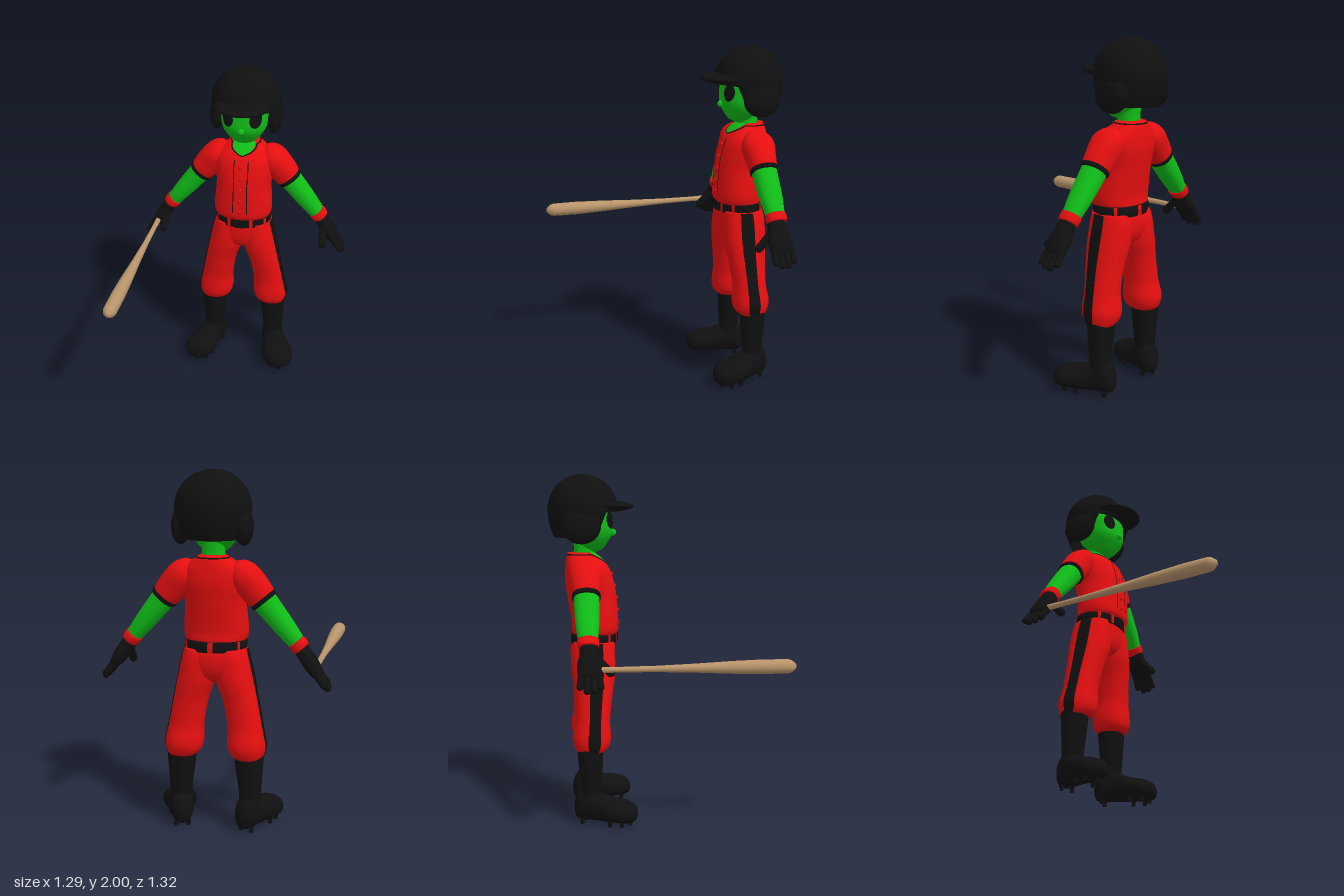
import * as THREE from 'three';

const mat = (name, color, side = THREE.FrontSide) => {
  const m = new THREE.MeshStandardMaterial({ color, side });
  m.name = name;
  return m;
};

// Section = [y, centreX, centreZ, radiusX, radiusZ]; smooth interpolation by height
function section(secs, y) {
  let i = 0;
  while (i < secs.length - 2 && y > secs[i + 1][0]) i++;
  const b = secs[i], c = secs[i + 1], a = secs[i - 1] || b, d = secs[i + 2] || c;
  const h = c[0] - b[0], t = (y - b[0]) / h, t2 = t * t, t3 = t2 * t;
  return [1, 2, 3, 4].map((k) => {
    const m0 = ((c[k] - a[k]) / (c[0] - a[0])) * h, m1 = ((d[k] - b[k]) / (d[0] - b[0])) * h;
    const v = (2 * t3 - 3 * t2 + 1) * b[k] + (t3 - 2 * t2 + t) * m0 + (3 * t2 - 2 * t3) * c[k] + (t3 - t2) * m1;
    return k > 2 ? Math.max(v, 0) : v;
  });
}

const POWER = 2 / 2.25;
const soft = (v) => Math.sign(v) * Math.abs(v) ** POWER;

// Point on a body surface; angle 0 is the front, +90 degrees is +x
function at(secs, u, y, off = 0) {
  const [cx, cz, rx, rz] = section(secs, y);
  return [cx + (rx + off) * soft(Math.sin(u)), y, cz + (rz + off) * soft(Math.cos(u))];
}

// Indexed grid of points; wrapped grids are closed around and capped
function grid(nu, nv, fn, wrap) {
  const pos = [], idx = [], w = wrap ? nu : nu + 1;
  for (let j = 0; j <= nv; j++) for (let i = 0; i < w; i++) pos.push(...fn(i / nu, j / nv));
  for (let j = 0; j < nv; j++) for (let i = 0; i < nu; i++) {
    const a = j * w + i, b = j * w + ((i + 1) % w);
    idx.push(a, b, b + w, a, b + w, a + w);
  }
  if (wrap === 'capped') {
    for (const j of [0, nv]) {
      const centre = pos.length / 3, p = [0, 0, 0];
      for (let i = 0; i < w; i++) for (let k = 0; k < 3; k++) p[k] += pos[(j * w + i) * 3 + k] / w;
      pos.push(...p);
      for (let i = 0; i < w; i++) {
        const a = j * w + i, b = j * w + ((i + 1) % w);
        idx.push(centre, ...(j ? [a, b] : [b, a]));
      }
    }
  }
  const g = new THREE.BufferGeometry();
  g.setAttribute('position', new THREE.Float32BufferAttribute(pos, 3));
  g.setIndex(idx);
  g.computeVertexNormals();
  return g;
}

const loft = (secs, nv = 36) => {
  const y0 = secs[0][0], y1 = secs[secs.length - 1][0];
  return grid(40, nv, (s, t) => at(secs, s * Math.PI * 2, y0 + (y1 - y0) * t), 'capped');
};

// Thin patch lying on a body surface; range(t) gives its two edge angles
const patch = (secs, y0, y1, range, off = 0.005) => grid(8, 28, (s, t) => {
  const [a, b] = range(t);
  return at(secs, a + (b - a) * s, y0 + (y1 - y0) * t, off);
});

export function createModel() {
  const model = new THREE.Group();
  model.name = 'batter';
  const red = mat('uniformRed', 0xe60f10), green = mat('skinGreen', 0x10bd18);
  const black = mat('gearBlack', 0x101010, THREE.DoubleSide), wood = mat('batWood', 0xb8946a);

  const add = (name, geo, material, parent = model, pos = [0, 0, 0]) => {
    const m = new THREE.Mesh(geo, material);
    m.name = name;
    m.position.set(...pos);
    parent.add(m);
    return m;
  };
  const ball = (name, material, pos, r, parent = model) =>
    add(name, new THREE.SphereGeometry(1, 32, 20), material, parent, pos).scale.set(...r);
  const group = (name, parent, pos) => {
    const g = new THREE.Group();
    g.name = name;
    g.position.set(...pos);
    parent.add(g);
    return g;
  };
  // Rounded finger between two points
  const finger = (name, a, b, r, parent) => {
    const p = new THREE.Vector3(...a), q = new THREE.Vector3(...b), d = q.clone().sub(p);
    const m = add(name, new THREE.CapsuleGeometry(r, d.length(), 6, 14), black, parent);
    m.position.copy(p).add(q).multiplyScalar(0.5);
    m.quaternion.setFromUnitVectors(new THREE.Vector3(0, 1, 0), d.normalize());
  };

  // Shirt
  const shirt = [[1.08, 0, -0.405, 0.162, 0.125], [1.095, 0, -0.398, 0.172, 0.134], [1.14, 0, -0.395, 0.178, 0.135],
    [1.3, 0, -0.412, 0.168, 0.142], [1.4, 0, -0.428, 0.178, 0.14], [1.47, 0, -0.44, 0.17, 0.125],
    [1.52, 0, -0.458, 0.12, 0.1], [1.555, 0, -0.475, 0.07, 0.075]];
  add('shirt', loft(shirt, 48), red);
  add('neckOpening', patch(shirt, 1.495, 1.555, (t) => [-0.95 * t, 0.95 * t]), green);
  const collar = [];
  for (let i = 0; i < 40; i++) {
    const u = (i / 40) * Math.PI * 2, k = Math.min(1, Math.min(u, Math.PI * 2 - u) / 0.95);
    collar.push(new THREE.Vector3(...at(shirt, u, 1.492 + 0.05 * k)));
  }
  add('collarPiping', new THREE.TubeGeometry(new THREE.CatmullRomCurve3(collar, true), 100, 0.004, 6, true), black);
  for (const s of [-1, 1])
    add('frontPiping', patch(shirt, 1.14, 1.47, () => [s * 0.2 - 0.015, s * 0.2 + 0.015], 0.003), black);
  for (let i = 0; i < 5; i++) {
    const [x, y, z] = at(shirt, 0, 1.15 + i * 0.07);
    ball('button', red, [x, y, z], [0.012, 0.012, 0.008]);
  }

  // Belt, buckle and loops
  const belt = [[1.03, 0, -0.407, 0.17, 0.13], [1.06, 0, -0.407, 0.172, 0.132], [1.09, 0, -0.405, 0.17, 0.13]];
  add('belt', loft(belt, 6), black);
  add('buckle', new THREE.BoxGeometry(0.06, 0.05, 0.02), black, model, [0, 1.058, -0.275]);
  for (const u of [0.35, 0.95, 2.2, Math.PI, -2.2, -0.95, -0.35])
    add('beltLoop', patch(belt, 1.03, 1.09, () => [u - 0.06, u + 0.06], 0.006), red);

  // Hips
  add('hips', loft([[0.85, 0, -0.41, 0.02, 0.05], [0.88, 0, -0.41, 0.08, 0.1], [0.93, 0, -0.412, 0.15, 0.124],
    [1.0, 0, -0.412, 0.174, 0.13], [1.045, 0, -0.407, 0.166, 0.126]]), red);

  // Head and neck
  const head = [[1.556, 0, -0.405, 0.02, 0.02], [1.572, 0, -0.405, 0.06, 0.055], [1.61, 0, -0.41, 0.1, 0.09],
    [1.66, 0, -0.42, 0.131, 0.128], [1.72, 0, -0.43, 0.143, 0.14], [1.8, 0, -0.44, 0.145, 0.14], [1.88, 0, -0.45, 0.1, 0.1]];
  add('head', loft(head), green);
  add('neck', loft([[1.49, 0, -0.455, 0.07, 0.065], [1.56, 0, -0.455, 0.062, 0.058], [1.64, 0, -0.455, 0.065, 0.062]], 12), green);
  ball('nose', green, [0, 1.668, -0.288], [0.02, 0.02, 0.02]);
  for (const s of [-1, 1]) {
    add('eye', patch(head, 1.69, 1.79, (t) => {
      const c = s * 0.56, w = 0.28 * Math.sqrt(Math.max(0, 1 - (2 * t - 1) ** 2));
      return [c - w, c + w];
    }), black);
  }

  // Helmet: open shell with a lower rim at the sides and back
  const rim = (u) => {
    const a = Math.abs(u > Math.PI ? u - Math.PI * 2 : u);
    return 1.785 - 0.145 * THREE.MathUtils.smoothstep(a, 0.85, 1.2);
  };
  add('helmetShell', grid(64, 32, (s, t) => {
    const u = s * Math.PI * 2, low = rim(u), k = Math.sin((t * Math.PI) / 2), y = low + (2 - low) * k;
    const r = 0.2 * Math.sqrt(Math.max(0, 1 - ((y - 1.8) / (y > 1.8 ? 0.2 : 0.28)) ** 2));
    return [r * 1.03 * Math.sin(u), y, -0.46 + r * Math.cos(u)];
  }, 'open'), black);
  ball('brim', black, [0, 1.818, -0.325], [0.168, 0.032, 0.16]);
  for (const s of [-1, 1]) ball('earFlap', black, [s * 0.172, 1.705, -0.475], [0.045, 0.1, 0.11]);

  for (const s of [-1, 1]) {
    // Arm, hanging along its own -y
    const arm = group(s > 0 ? 'leftArm' : 'rightArm', model, [s * 0.165, 1.45, -0.455]);
    arm.rotation.z = s * 0.687;
    add('sleeve', loft([[-0.175, 0, 0, 0.074, 0.076], [-0.1, 0, 0, 0.084, 0.086], [0, 0, 0, 0.08, 0.095],
      [0.06, 0, 0, 0.05, 0.06], [0.085, 0, 0, 0.01, 0.01]]), red, arm);
    add('sleeveTrim', loft([[-0.185, 0, 0, 0.074, 0.077], [-0.173, 0, 0, 0.078, 0.08], [-0.16, 0, 0, 0.077, 0.079]], 6), black, arm);
    add('forearm', loft([[-0.48, 0, 0, 0.042, 0.05], [-0.35, 0, 0, 0.056, 0.065], [-0.17, 0, 0, 0.067, 0.072]]), green, arm);
    add('wristband', loft([[-0.5, 0, 0, 0.046, 0.055], [-0.475, 0, 0, 0.05, 0.06], [-0.45, 0, 0, 0.048, 0.058]], 8), red, arm);

    // Gloved hand
    const hand = group('glove', model, [s * 0.483, 1.055, -0.45]);
    hand.rotation.z = s * 0.605;
    add('palm', loft([[-0.17, 0, 0, 0.018, 0.05], [-0.15, 0, 0, 0.03, 0.066], [-0.09, 0, 0, 0.04, 0.068],
      [-0.03, 0, 0, 0.041, 0.054], [0.015, 0, 0, 0.042, 0.05]]), black, hand);
    [-0.055, -0.019, 0.019, 0.053].forEach((z, i) =>
      finger('finger', [0, -0.13, z * 0.85], [s * 0.004, [-0.218, -0.243, -0.24, -0.222][i], z], 0.019, hand));
    finger('thumb', [-s * 0.01, -0.04, 0.03], [-s * 0.05, -0.115, 0.112], 0.023, hand);

    // Trouser leg with side stripe
    const leg = [[0.425, 0.19, -0.435, 0.08, 0.08], [0.45, 0.182, -0.43, 0.097, 0.1], [0.5, 0.178, -0.43, 0.107, 0.11],
      [0.6, 0.168, -0.423, 0.097, 0.1], [0.75, 0.14, -0.415, 0.096, 0.11], [0.87, 0.107, -0.412, 0.105, 0.125],
      [1.0, 0.083, -0.412, 0.1, 0.124], [1.045, 0.08, -0.408, 0.09, 0.115]].map(([y, x, ...r]) => [y, s * x, ...r]);
    add('trouserLeg', loft(leg, 48), red);
    const side = s * 1.47;
    add('legStripe', patch(leg, 0.428, 1.04, () => [side - 0.27, side + 0.27]), black);

    // Sock and cleated shoe
    add('sock', loft([[0.1, s * 0.2, -0.437, 0.06, 0.06], [0.2, s * 0.2, -0.437, 0.061, 0.059],
      [0.33, s * 0.196, -0.438, 0.073, 0.068], [0.45, s * 0.192, -0.44, 0.084, 0.076]], 16), black);
    const shoe = group('shoe', model, [s * 0.2, 0.01, -0.44]);
    shoe.rotation.y = s * 0.35;
    add('shoeBody', loft([[-0.097, 0, -0.08, 0.005, 0.01], [-0.085, 0, -0.085, 0.04, 0.06], [-0.05, 0, -0.1, 0.063, 0.09],
      [0, 0, -0.102, 0.067, 0.094], [0.06, 0, -0.09, 0.075, 0.082], [0.13, 0, -0.076, 0.094, 0.068],
      [0.2, 0, -0.07, 0.095, 0.061], [0.25, 0, -0.062, 0.07, 0.05], [0.272, 0, -0.057, 0.035, 0.028],
      [0.279, 0, -0.055, 0.005, 0.005]], 48), black, shoe).rotation.x = Math.PI / 2;
    for (const [x, z] of [[-0.05, 0.2], [0, 0.235], [0.05, 0.2], [-0.055, 0.13], [0.055, 0.13], [-0.035, -0.04], [0.035, -0.04]])
      add('cleat', new THREE.CylinderGeometry(0.015, 0.011, 0.03, 10), black, shoe, [x, 0.005, z]);
  }

  // Bat, pointing forward from the right hand
  const batProfile = [[0, -0.42], [0.018, -0.42], [0.015, -0.3], [0.017, -0.1], [0.025, 0.12], [0.035, 0.32],
    [0.04, 0.48], [0.039, 0.62], [0.033, 0.64], [0.015, 0.662], [0, 0.664]].map((p) => new THREE.Vector2(...p));
  add('bat', new THREE.LatheGeometry(batProfile, 20), wood, model, [-0.555, 0.957, 0]).rotation.x = Math.PI / 2;

  return model;
}
